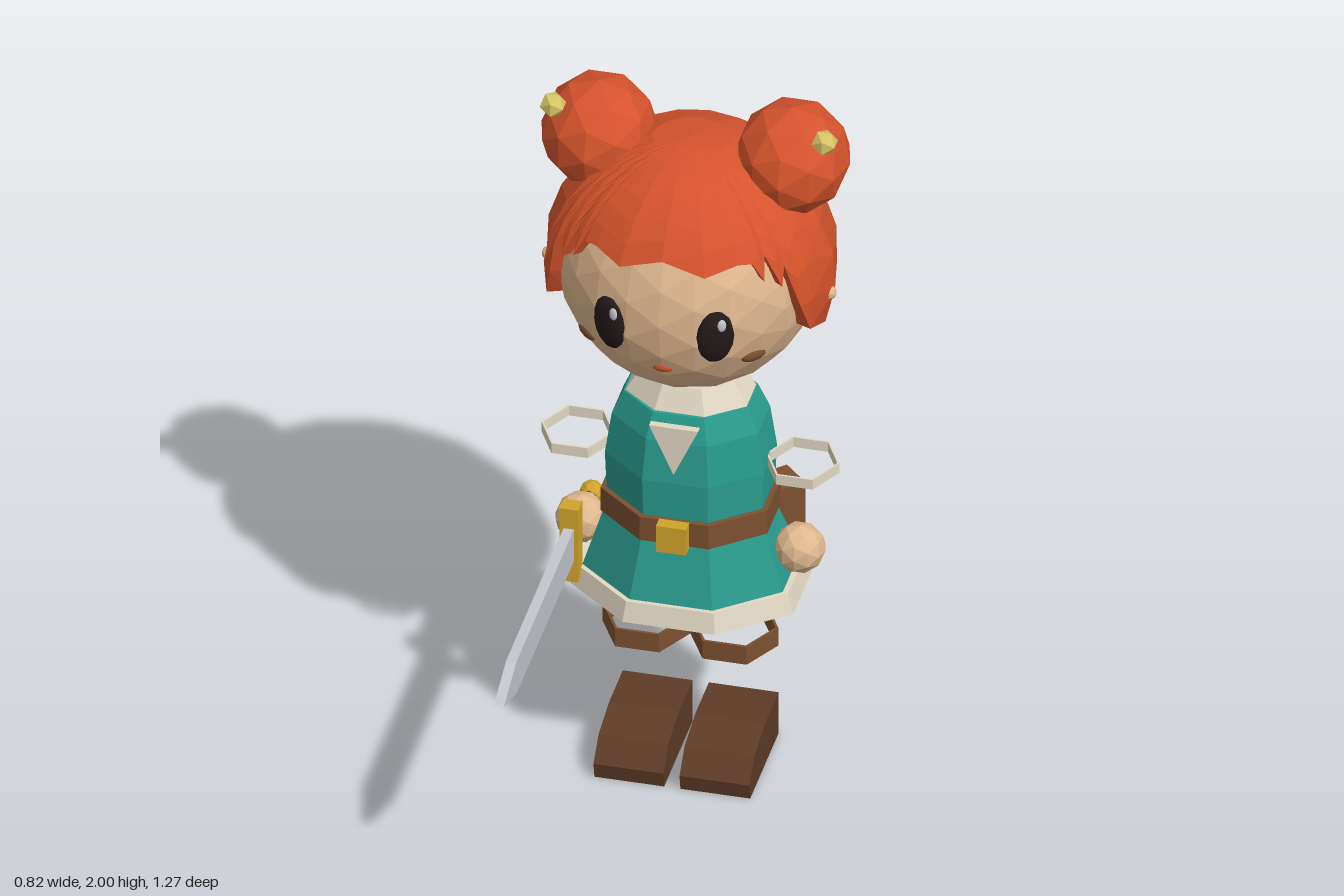
import * as THREE from 'three';

const mat = (name, color) => {
  const m = new THREE.MeshStandardMaterial({ color });
  m.name = name;
  return m;
};

// Unshared corners give every facet its own normal
function flat(geo) {
  const g = geo.index ? geo.toNonIndexed() : geo;
  g.computeVertexNormals();
  return g;
}

// Low-sided turned part; profile runs upwards as [radius, y]
function turned(profile, sides, start, zScale = 1) {
  const g = new THREE.LatheGeometry(profile.map(p => new THREE.Vector2(...p)), sides, start);
  return flat(g.scale(1, 1, zScale));
}

// Closed thin-walled band
const band = (r0, r1, y0, y1, t) =>
  [[r0 - t, y0], [r0, y0], [r1, y1], [r1 - t, y1], [r0 - t, y0]];

// Side outline of [z, y] points, extruded across x
function sideCut(points, width) {
  const s = new THREE.Shape(points.map(p => new THREE.Vector2(...p)));
  const g = new THREE.ExtrudeGeometry(s, { depth: width, bevelEnabled: false });
  return flat(g.translate(0, 0, -width / 2).rotateY(-Math.PI / 2));
}

const ball = (r, detail) => flat(new THREE.IcosahedronGeometry(r, detail));
const CZ = -0.25, HEAD_Y = 1.535, HEAD_R = 0.345;

// Hair shell: columns of [degrees from front, lower edge y, radius]
function hairGeometry() {
  const half = [[0, 1.72, 0.362], [20, 1.685, 0.362], [36, 1.705, 0.362], [43, 1.7, 0.364],
    [47, 1.65, 0.366], [50, 1.71, 0.366], [55, 1.62, 0.368], [58, 1.67, 0.37], [63, 1.54, 0.374],
    [69, 1.45, 0.384], [90, 1.385, 0.387], [112.5, 1.37, 0.387], [135, 1.37, 0.387],
    [157.5, 1.37, 0.387], [180, 1.37, 0.387]];
  const cols = [...half, ...half.slice(1, -1).reverse().map(([a, y, r]) => [360 - a, y, r])];
  const rows = 7, pos = [], idx = [];
  for (const [deg, yEnd, r] of cols) {
    const a = THREE.MathUtils.degToRad(deg);
    const end = Math.acos((yEnd - HEAD_Y) / r);
    for (let j = 0; j <= rows + 1; j++) {
      const t = end * Math.min(j, rows) / rows;
      const top = 0.37 + (r - 0.37) * Math.min(j, rows) / rows;
      const inset = j > rows ? 0.85 : 1; // last row turns under to the head
      const h = top * Math.sin(t) * inset;
      pos.push(h * Math.sin(a), top * Math.cos(t), h * Math.cos(a));
    }
  }
  const n = rows + 2;
  for (let i = 0; i < cols.length; i++) {
    const k = (i + 1) % cols.length;
    for (let j = 0; j < n - 1; j++) {
      const a = i * n + j, b = k * n + j;
      if (j > 0) idx.push(a, a + 1, b);
      idx.push(a + 1, b + 1, b);
    }
  }
  const g = new THREE.BufferGeometry();
  g.setAttribute('position', new THREE.Float32BufferAttribute(pos, 3));
  g.setIndex(idx);
  return flat(g);
}

export function createModel() {
  const root = new THREE.Group();
  root.name = 'swordGirl';
  const skin = mat('skin', 0xe0b88f), hair = mat('copper hair', 0xd4532c);
  const teal = mat('teal cloth', 0x2a9d8f), cream = mat('cream trim', 0xe2d8c3);
  const leather = mat('belt leather', 0x7d5030), boot = mat('boot leather', 0x5e3b26);
  const gold = mat('gold', 0xd0a42a), bead = mat('pale gold', 0xd6c465);
  const steel = mat('steel', 0xc3c6ce), dark = mat('eye black', 0x241a1a);

  const add = (name, geo, material, x = 0, y = 0, z = 0) => {
    const m = new THREE.Mesh(geo, material);
    m.name = name;
    m.position.set(x, y, z);
    root.add(m);
    return m;
  };
  const box = (w, h, d) => new THREE.BoxGeometry(w, h, d);

  // Head and hair
  add('head', ball(HEAD_R, 3), skin, 0, HEAD_Y, CZ);
  add('hair', hairGeometry(), hair, 0, HEAD_Y, CZ);
  add('neck', flat(new THREE.CylinderGeometry(0.07, 0.07, 0.16, 8)), skin, 0, 1.17, CZ);

  // Facial features sit on the head and face outwards
  const onHead = (name, material, x, y, w, h, depth, lift = 0) => {
    const r = HEAD_R - 0.008 + lift, dy = y - HEAD_Y;
    const dz = Math.sqrt(r * r - x * x - dy * dy);
    const g = new THREE.SphereGeometry(1, 12, 8).scale(w / 2, h / 2, depth);
    const m = add(name, g, material, x, y, CZ + dz);
    m.lookAt(2 * x, y + dy, CZ + 2 * dz);
  };
  for (const s of [-1, 1]) {
    onHead('eye', dark, s * 0.14, 1.505, 0.1, 0.165, 0.02);
    onHead('eyeHighlight', steel, s * 0.142 + 0.018, 1.55, 0.024, 0.036, 0.006, 0.018);
    onHead('cheek', leather, s * 0.22, 1.405, 0.075, 0.042, 0.014);
    add('ear', ball(0.02, 1), skin, s * 0.371, 1.49, -0.232);
    const bun = add('hairBun', ball(0.152, 1), hair, s * 0.257, 1.85, -0.303);
    bun.scale.z = 1.07;
    add('hairBead', ball(0.036, 0), bead, s * 0.36, 1.96, -0.227);
  }
  onHead('mouth', hair, 0, 1.385, 0.055, 0.032, 0.012);

  // Tunic, eight-sided with a flat front
  const oct = Math.PI / 8;
  add('tunic', turned([[0, 0.53], [0.295, 0.53], [0.288, 0.58], [0.222, 0.78], [0.228, 0.93],
    [0.21, 1.05], [0.178, 1.12], [0, 1.13]], 8, oct, 0.81), teal, 0, 0, CZ);
  add('hem', turned(band(0.32, 0.303, 0.525, 0.582, 0.03), 8, oct, 0.81), cream, 0, 0, CZ);
  add('collar', turned([[0.1, 1.115], [0.177, 1.115], [0.135, 1.185], [0.07, 1.185]],
    8, oct, 0.78), cream, 0, 0, CZ);
  const vee = new THREE.Shape([[-0.065, 1.115], [0, 0.97], [0.065, 1.115]]
    .map(p => new THREE.Vector2(...p)));
  add('neckline', new THREE.ExtrudeGeometry(vee, { depth: 0.02, bevelEnabled: false }),
    cream, 0, 0, -0.083);

  // Belt, buckle and pouch
  add('belt', turned(band(0.239, 0.239, 0.748, 0.82, 0.03), 8, oct, 0.82), leather, 0, 0, CZ);
  add('buckle', box(0.08, 0.08, 0.035), gold, 0, 0.782, -0.053);
  const pouch = add('pouch', box(0.098, 0.135, 0.092), leather, 0.207, 0.722, -0.365);
  pouch.rotation.y = Math.PI / 4;

  // Hands, cuffs and boots
  const bootSide = [[-0.355, 0], [-0.05, 0], [-0.04, 0.047], [-0.095, 0.103],
    [-0.21, 0.128], [-0.355, 0.128]];
  const hex = Math.PI / 2;
  for (const s of [-1, 1]) {
    add('hand', ball(0.068, 1), skin, s * 0.29, 0.67, -0.245);
    add('sleeveCuff', turned(band(0.097, 0.097, 0.92, 0.95, 0.006), 6, hex, 1.08),
      cream, s * 0.298, 0, -0.245);
    add('bootCuff', turned(band(0.117, 0.117, 0.352, 0.407, 0.008), 6, hex, 1.03),
      leather, s * 0.116, 0, -0.246);
    add('boot', sideCut(bootSide, 0.185), boot, s * 0.114, 0, 0);
  }

  // Sword pointing forward from the right hand
  const swordX = -0.29;
  add('blade', sideCut([[-0.14, 0.62], [0.505, 0.62], [0.637, 0.67], [0.505, 0.72],
    [-0.14, 0.72]], 0.027), steel, swordX, 0, 0);
  add('guard', box(0.05, 0.225, 0.045), gold, swordX, 0.668, -0.135);
  add('grip', flat(new THREE.CylinderGeometry(0.02, 0.02, 0.22, 6).rotateX(Math.PI / 2)),
    leather, swordX, 0.67, -0.245);
  add('pommel', ball(0.032, 1), gold, swordX, 0.67, -0.36);

  return root;
}
